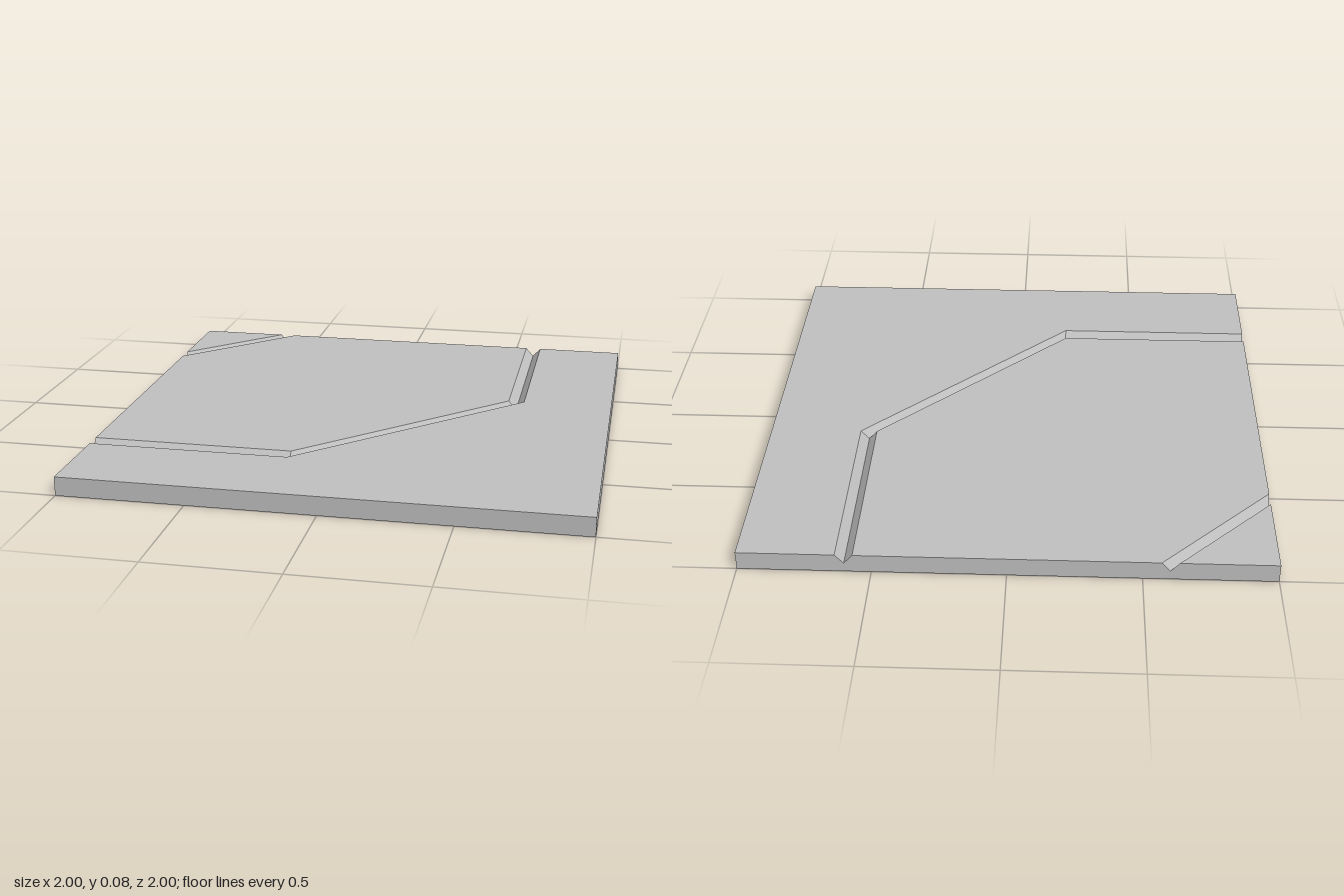
import * as THREE from 'three';

const HEIGHT = 0.075; // slab thickness
const HALF = 0.033;   // half width of a groove
const DEPTH = 0.037;  // groove depth

// Groove lines as [x, z], shifted outward by d
const mainLine = d => [[-1, 0.6 + d], [-0.2, 0.6 + d], [0.6 + d, -0.2], [0.6 + d, -1]];
const cornerLine = d => [[-1, -0.6 + d], [-0.6 + d, -1]];

// Flat face drawn in x and z, facing up
function topFace(points) {
  const shape = new THREE.Shape(points.map(([x, z]) => new THREE.Vector2(x, -z)));
  return new THREE.ShapeGeometry(shape).rotateX(-Math.PI / 2).translate(0, HEIGHT, 0);
}

// V-shaped channel lofted through inner edge, bottom and outer edge
function grooveGeometry(line) {
  const rows = [-HALF, 0, HALF].map(d =>
    line(d).map(([x, z]) => [x, HEIGHT - (d === 0 ? DEPTH : 0), z]));
  const positions = [];
  for (let r = 0; r < 2; r++) {
    const a = rows[r], b = rows[r + 1];
    for (let i = 0; i < a.length - 1; i++) {
      positions.push(...a[i], ...b[i], ...b[i + 1], ...a[i], ...b[i + 1], ...a[i + 1]);
    }
  }
  const geometry = new THREE.BufferGeometry();
  geometry.setAttribute('position', new THREE.Float32BufferAttribute(positions, 3));
  geometry.computeVertexNormals();
  return geometry;
}

// Side wall, with notches where the grooves run out
function wallGeometry(notches) {
  const shape = new THREE.Shape();
  shape.moveTo(-1, 0);
  shape.lineTo(1, 0);
  shape.lineTo(1, HEIGHT);
  for (const c of notches) {
    shape.lineTo(c + HALF, HEIGHT);
    shape.lineTo(c, HEIGHT - DEPTH);
    shape.lineTo(c - HALF, HEIGHT);
  }
  shape.lineTo(-1, HEIGHT);
  return new THREE.ShapeGeometry(shape).translate(0, 0, 1);
}

export function createModel() {
  const group = new THREE.Group();
  group.name = 'groovedFloorTile';
  const grey = new THREE.MeshStandardMaterial({ color: 0xc0c0c0, side: THREE.DoubleSide });
  grey.name = 'light grey';

  const add = (name, geometry) => {
    const mesh = new THREE.Mesh(geometry, grey);
    mesh.name = name;
    group.add(mesh);
  };

  // Top plates between the grooves
  add('outerTopPlate', topFace([...mainLine(HALF), [1, -1], [1, 1], [-1, 1]]));
  add('middleTopPlate', topFace([...mainLine(-HALF), ...cornerLine(HALF).reverse()]));
  add('cornerTopPlate', topFace([...cornerLine(-HALF), [-1, -1]]));

  // Grooves
  add('mainGroove', grooveGeometry(mainLine));
  add('cornerGroove', grooveGeometry(cornerLine));

  // Four walls; the underside stays open
  const ends = [0.6, -0.6];
  add('frontWall', wallGeometry([]));
  add('leftWall', wallGeometry([]).rotateY(Math.PI / 2));
  add('backWall', wallGeometry(ends).rotateY(Math.PI));
  add('rightWall', wallGeometry(ends).rotateY(-Math.PI / 2));

  return group;
}
